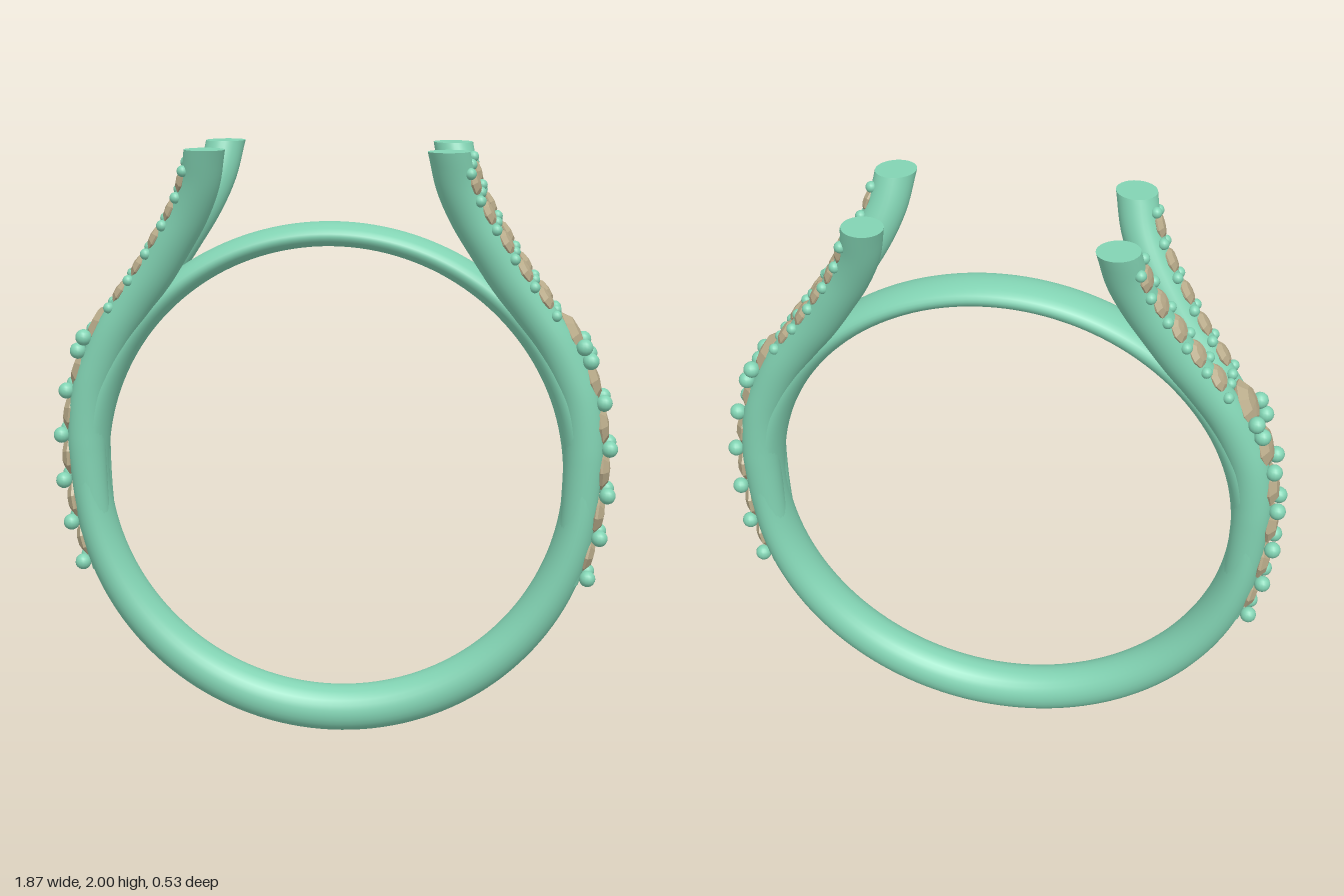
import * as THREE from 'three';

const metal = new THREE.MeshStandardMaterial({ color: 0x82d3b3 });
const stone = new THREE.MeshStandardMaterial({ color: 0xb9ab8a, flatShading: true });
const V = (x, y, z) => new THREE.Vector3(x, y, z);
const CENTRE_Y = 0.92, TOP = 2;

function add(parent, name, geometry, material) {
  const mesh = new THREE.Mesh(geometry, material);
  mesh.name = name;
  parent.add(mesh);
  return mesh;
}

// Skin a list of equal rings of points, optionally joining the last to the first
function skin(rings, closed) {
  const n = rings[0].length, index = [];
  const last = closed ? rings.length : rings.length - 1;
  for (let i = 0; i < last; i++) {
    const k = (i + 1) % rings.length;
    for (let j = 0; j < n; j++) {
      const m = (j + 1) % n;
      const a = i * n + j, b = i * n + m, c = k * n + j, d = k * n + m;
      index.push(a, b, c, b, d, c);
    }
  }
  const g = new THREE.BufferGeometry().setFromPoints(rings.flat());
  g.setIndex(index);
  g.computeVertexNormals();
  return g;
}

// Round band: thick at the bottom, thin bridge at the top
function bandGeometry() {
  const rings = [];
  for (let i = 0; i < 160; i++) {
    const a = (i / 160) * Math.PI * 2, s = Math.sin(a), c = Math.cos(a);
    const inner = 0.762, outer = 0.88 - 0.04 * s;
    const mid = (inner + outer) / 2, half = (outer - inner) / 2;
    const width = 0.08 + 0.01 * c * c;
    const ring = [];
    for (let j = 0; j < 28; j++) {
      const t = (j / 28) * Math.PI * 2;
      const r = mid + half * Math.sin(t);
      ring.push(V(c * r, CENTRE_Y + s * r, width * Math.cos(t)));
    }
    rings.push(ring);
  }
  return skin(rings, true);
}

// Centre line of one forked arm on the +x side
const armCurve = (side) => new THREE.CatmullRomCurve3([
  [0.775, 0.58, 0.02], [0.808, 0.75, 0.028], [0.822, 0.92, 0.031], [0.822, 1.06, 0.033],
  [0.80, 1.2, 0.037], [0.762, 1.3, 0.042], [0.71, 1.4, 0.051], [0.64, 1.5, 0.064],
  [0.565, 1.6, 0.084], [0.50, 1.7, 0.106], [0.44, 1.8, 0.131], [0.397, 1.9, 0.163], [0.375, 2, 0.198],
].map(([x, y, z]) => V(x, y, z * side)));

// Frame on a curve: outward normal leans to +x, perpendicular to the tangent
function frame(curve, u) {
  const p = curve.getPointAt(u), t = curve.getTangentAt(u);
  const n = V(1, 0, 0).addScaledVector(t, -t.x).normalize();
  return { p, t, n, b: t.clone().cross(n) };
}

// Parameter at which a rising curve reaches a height
function atHeight(curve, y) {
  let lo = 0, hi = 1;
  for (let i = 0; i < 24; i++) {
    const m = (lo + hi) / 2;
    if (curve.getPointAt(m).y < y) lo = m; else hi = m;
  }
  return lo;
}

function addArm(parent, curve) {
  const rings = [], R = 0.063;
  for (let i = 0; i <= 70; i++) {
    const { p, t, n, b } = frame(curve, i / 70);
    const r = R * Math.min(1, 0.8 + i / 100);
    const ring = [];
    for (let j = 0; j < 28; j++) {
      const a = (j / 28) * Math.PI * 2;
      const q = p.clone().addScaledVector(n, r * Math.cos(a)).addScaledVector(b, r * Math.sin(a));
      // level cut at the top
      if (i === 70 || q.y > TOP) q.addScaledVector(t, (TOP - q.y) / t.y);
      ring.push(q);
    }
    rings.push(ring);
  }
  add(parent, 'arm', skin(rings, false), metal);
  const end = rings[70], cap = new THREE.BufferGeometry().setFromPoints(end);
  cap.setIndex(end.slice(2).flatMap((_, j) => [0, j + 1, j + 2]));
  cap.computeVertexNormals();
  add(parent, 'armEnd', cap, metal);
}

// Faceted stone, unit girdle radius, facing +y
const gemGeometry = new THREE.LatheGeometry(
  [[0, -0.6], [0.95, -0.12], [1, 0], [0.62, 0.3], [0, 0.38]].map(([x, y]) => new THREE.Vector2(x, y)), 9);
const beadGeometry = new THREE.SphereGeometry(1, 14, 10);

function addGem(parent, f, lift, r) {
  const gem = add(parent, 'stone', gemGeometry, stone);
  gem.position.copy(f.p).addScaledVector(f.n, lift);
  gem.quaternion.setFromUnitVectors(V(0, 1, 0), f.n);
  gem.scale.setScalar(r);
}

// Pair of holding beads either side of the stone row
function addBeads(parent, f, lift, spread, r) {
  for (const s of [-1, 1]) {
    const bead = add(parent, 'bead', beadGeometry, metal);
    bead.position.copy(f.p).addScaledVector(f.n, lift).addScaledVector(f.b, s * spread);
    bead.scale.setScalar(r);
  }
}

// One shoulder: two arms, a row of large stones, two rows of small stones
function buildShoulder() {
  const g = new THREE.Group();
  g.name = 'shoulder';
  const row = new THREE.CatmullRomCurve3([
    [0.82, 0.56], [0.85, 0.67], [0.876, 0.81], [0.887, 0.965], [0.876, 1.115], [0.838, 1.265], [0.772, 1.41], [0.71, 1.52],
  ].map(([x, y]) => V(x, y, 0)));
  const large = [[0.67, 0.064], [0.81, 0.069], [0.965, 0.072], [1.115, 0.074], [1.265, 0.077], [1.41, 0.08]];
  for (const [y, r] of large) addGem(g, frame(row, atHeight(row, y)), 0, r);
  const beads = [[0.6, 0.04], [0.74, 0.043], [0.885, 0.045], [1.04, 0.046], [1.19, 0.052], [1.325, 0.066], [1.37, 0.071]];
  for (const [y, spread] of beads) addBeads(g, frame(row, atHeight(row, y)), 0.022, spread, 0.027);

  for (const side of [-1, 1]) {
    const curve = armCurve(side);
    addArm(g, curve);
    for (const y of [1.505, 1.595, 1.69, 1.785, 1.89])
      addGem(g, frame(curve, atHeight(curve, y)), 0.056, 0.047);
    for (const y of [1.455, 1.55, 1.643, 1.738, 1.838, 1.935])
      addBeads(g, frame(curve, atHeight(curve, y)), 0.056, 0.034, 0.018);
  }
  return g;
}

export function createModel() {
  const model = new THREE.Group();
  model.name = 'ring';
  add(model, 'band', bandGeometry(), metal);
  const left = buildShoulder(), right = buildShoulder();
  left.name = 'leftShoulder';
  right.name = 'rightShoulder';
  right.rotation.y = Math.PI;
  model.add(left, right);
  return model;
}
